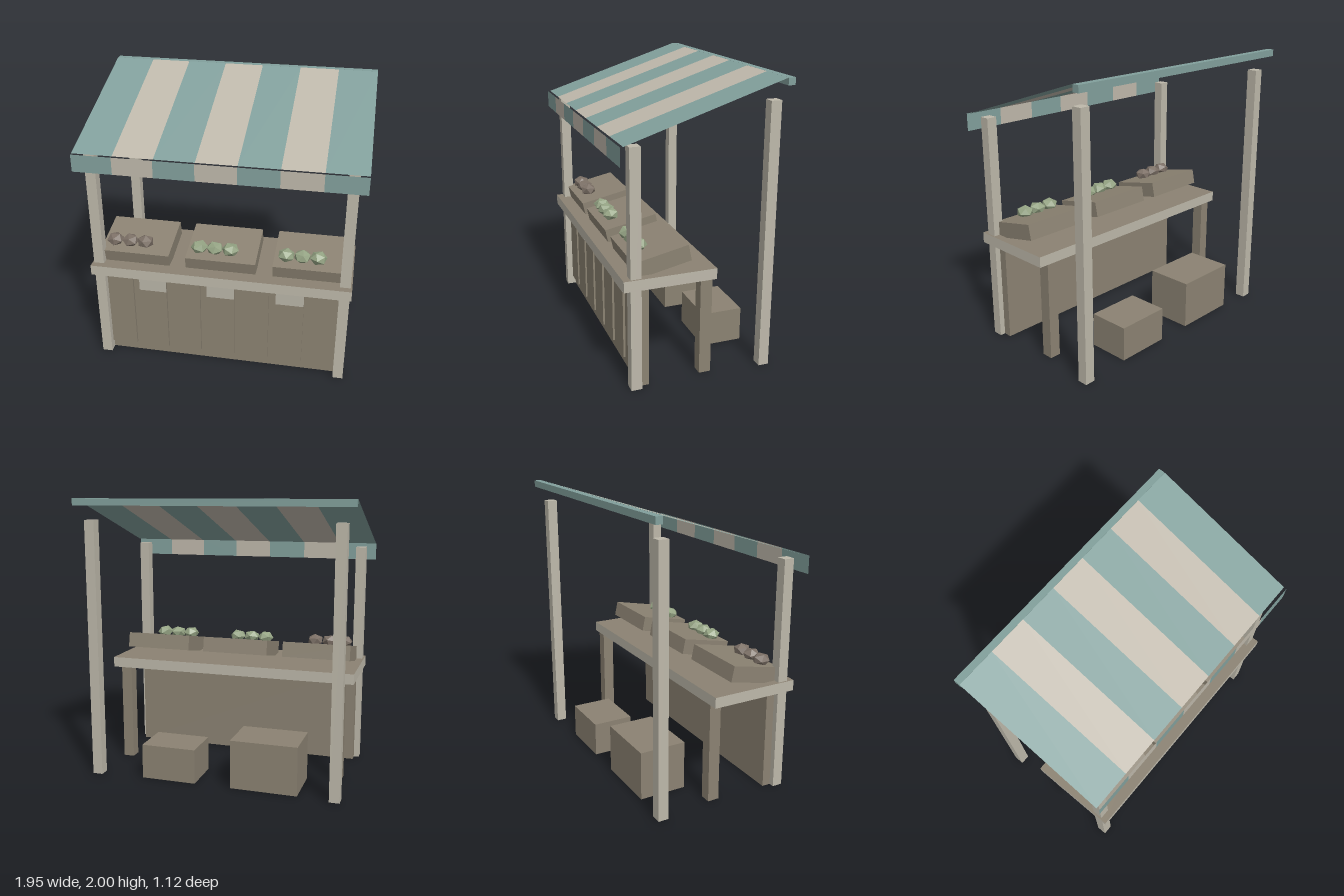
import * as THREE from 'three';

const paint = (name, color, extra = {}) => Object.assign(new THREE.MeshStandardMaterial({ color, ...extra }), { name });

// Box without its underside
function openBox(w, h, d) {
  const geometry = new THREE.BoxGeometry(w, h, d);
  const index = [...geometry.index.array];
  index.splice(18, 6);
  geometry.setIndex(index);
  geometry.clearGroups();
  return geometry;
}

export function createModel() {
  const model = new THREE.Group();
  model.name = 'marketStall';

  const bothSides = { side: THREE.DoubleSide };
  const paleWood = paint('pale wood', 0xbdb8aa, bothSides);
  const brownWood = paint('brown wood', 0x8b8272, bothSides);
  const teal = paint('teal cloth', 0x82a09c, bothSides);
  const cream = paint('cream cloth', 0xbfb8ab, bothSides);
  const label = paint('label', 0xb9b5a7);
  const green = paint('green produce', 0x95a484, { flatShading: true });
  const russet = paint('brown produce', 0x7c7066, { flatShading: true });

  const add = (name, geometry, material, x, y, z, parent = model) => {
    const mesh = new THREE.Mesh(geometry, material);
    mesh.name = name;
    mesh.position.set(x, y, z);
    parent.add(mesh);
    return mesh;
  };
  const box = (name, material, w, h, d, x, y, z) =>
    add(name, new THREE.BoxGeometry(w, h, d), material, x, y, z);
  // Open-bottomed box standing on the ground
  const standing = (name, material, w, h, d, x, z) =>
    add(name, openBox(w, h, d), material, x, h / 2, z);

  // Posts and the rear counter legs, mirrored
  for (const side of [-1, 1]) {
    standing('frontPost', paleWood, 0.073, 1.638, 0.073, side * 0.877, 0.451);
    standing('backPost', paleWood, 0.073, 1.852, 0.073, side * 0.877, -0.474);
    standing('counterLeg', brownWood, 0.08, 0.72, 0.083, side * 0.82, -0.053);
  }

  // Counter: brown boards with a pale rim, and a panelled front
  const rim = paleWood, board = brownWood;
  box('counterTop', [rim, rim, board, board, rim, rim], 1.85, 0.075, 0.632, 0, 0.752, 0.219);
  standing('frontPanel', brownWood, 1.75, 0.72, 0.068, 0, 0.387);
  for (let i = -3; i <= 3; i++) {
    box('slat', brownWood, 0.2, 0.595, 0.022, i * 0.25, 0.365, 0.432);
    if (i % 2 === 0) box('label', label, 0.2, 0.097, 0.006, i * 0.25, 0.613, 0.444);
  }

  // Tilted display crates, each with three pieces of produce
  const fruit = new THREE.IcosahedronGeometry(0.063, 0);
  [-0.62, 0, 0.62].forEach((x, crate) => {
    box('displayCrate', brownWood, 0.5, 0.112, 0.38, x, 0.862, 0.256).rotation.x = 0.205;
    for (let i = 0; i < 3; i++) {
      const holder = new THREE.Group();
      holder.name = 'produce';
      holder.position.set(x - 0.165 + i * 0.112, 0.926, 0.358);
      holder.scale.y = 0.76;
      model.add(holder);
      add('produceBody', fruit, crate === 0 ? russet : green, 0, 0, 0, holder)
        .rotation.set(i * 0.9 + crate, i * 1.3 + crate * 0.7, i * 0.5);
    }
  });

  // Storage crates on the ground behind
  standing('largeCrate', brownWood, 0.48, 0.35, 0.34, -0.376, -0.31);
  standing('smallCrate', brownWood, 0.4, 0.25, 0.3, 0.328, -0.33);

  // Striped awning: sloping sheet, hanging valance just ahead of it, rear rail
  const rise = 0.34, run = 1.055, stripe = 1.946 / 7;
  const sheet = new THREE.PlaneGeometry(stripe, Math.hypot(rise, run));
  const flap = new THREE.PlaneGeometry(stripe, 0.123);
  for (let i = -3; i <= 3; i++) {
    const material = i % 2 ? teal : cream;
    add('awningStripe', sheet, material, i * stripe, 1.83, 0.0145)
      .rotation.x = Math.atan2(-run, rise);
    add('valanceStripe', flap, material, i * stripe, 1.598, 0.562);
  }
  box('awningRail', teal, 1.946, 0.048, 0.048, 0, 1.976, -0.538);
  return model;
}
